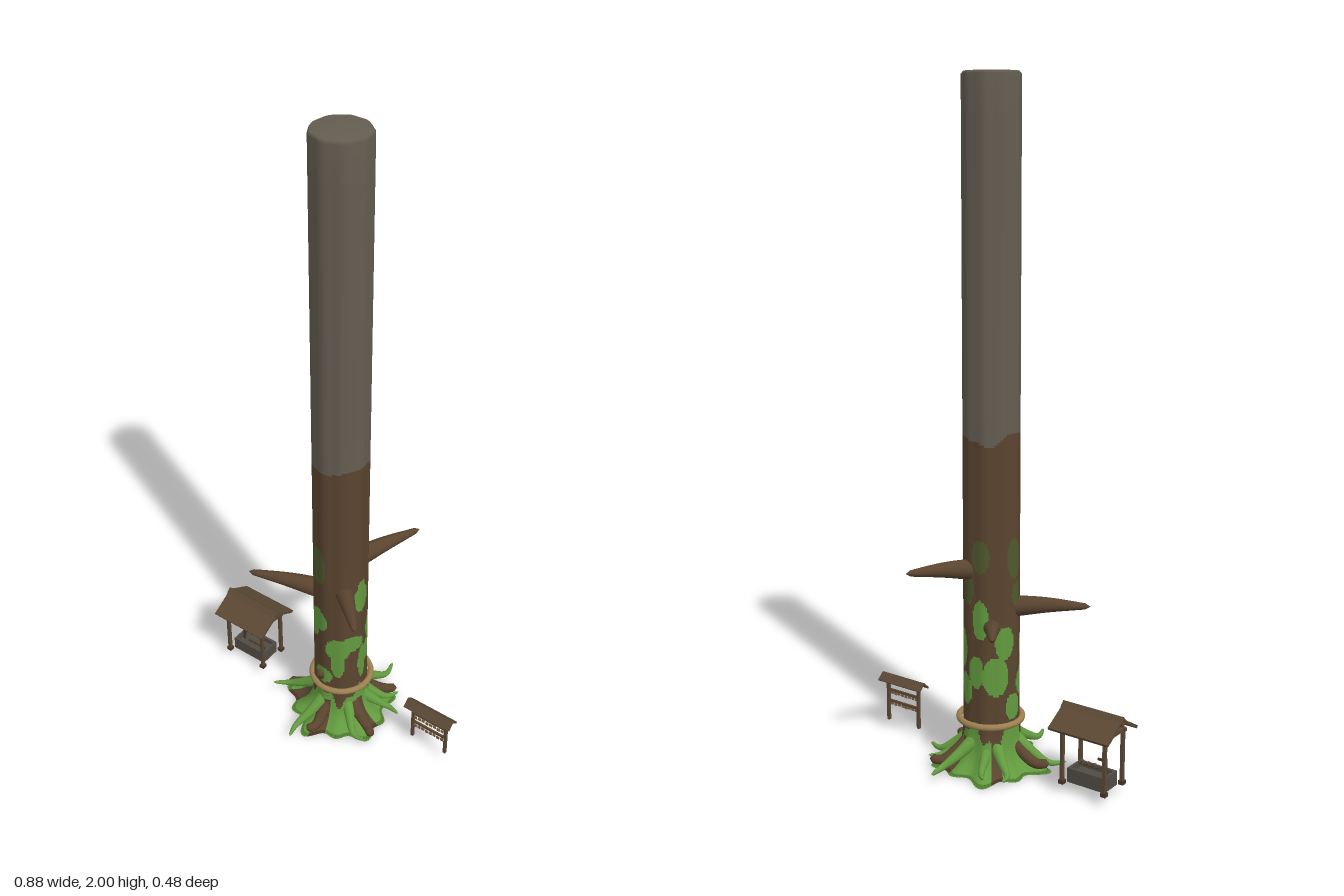
import * as THREE from 'three';

const mat = (name, color) => {
  const m = new THREE.MeshStandardMaterial({ color });
  m.name = name;
  return m;
};
const bark = mat('bark', 0x5a442f), pale = mat('greyBark', 0x645d51), moss = mat('moss', 0x629a3e),
  dimMoss = mat('dimMoss', 0x50592d), rope = mat('rope', 0x9c8050), wood = mat('wood', 0x5b4834),
  darkWood = mat('darkWood', 0x473728), stone = mat('stone', 0x504c44), plaque = mat('plaque', 0x7c6446);

const CX = 0.015, CZ = 0.01, RAD = Math.PI / 180;
const V = (x, y, z) => new THREE.Vector3(x, y, z);
const angleGap = (a, b) => Math.abs(((a - b + 540) % 360 + 360) % 360 - 180);

function add(parent, name, geo, material, x = 0, y = 0, z = 0) {
  const m = new THREE.Mesh(geo, material);
  m.name = name;
  m.position.set(x, y, z);
  parent.add(m);
  return m;
}
const box = (parent, name, material, w, h, d, x, y, z) =>
  add(parent, name, new THREE.BoxGeometry(w, h, d), material, x, y, z);

// Root buttresses around the foot: [angle, extra reach]
const lobes = [[26, 0.055], [95, 0.055], [135, 0.03], [167, 0.06], [205, 0.025], [243, 0.055], [285, 0.025], [315, 0.055], [355, 0.035], [60, 0.025]];
// Moss patches: [angle, height, half angle, half height]
const patches = [
  [110, 0.425, 27, 0.042], [130, 0.375, 22, 0.032], [60, 0.32, 28, 0.045], [3, 0.52, 22, 0.055], [3, 0.56, 13, 0.03],
  [30, 0.34, 34, 0.03], [60, 0.26, 16, 0.06], [0, 0.25, 14, 0.07], [152, 0.27, 24, 0.045],
  [258, 0.47, 18, 0.06], [205, 0.4, 22, 0.05], [225, 0.3, 28, 0.06], [268, 0.31, 18, 0.05],
  [318, 0.37, 26, 0.06], [300, 0.25, 22, 0.05], [335, 0.28, 20, 0.045], [185, 0.2, 20, 0.04], [95, 0.2, 24, 0.03]];
const dimPatches = [[112, 0.64, 26, 0.07], [258, 0.66, 20, 0.05], [182, 0.65, 20, 0.06], [290, 0.56, 16, 0.05], [170, 0.54, 18, 0.04]];

function trunkRadius(deg, y) {
  let reach = 0.047;
  for (const [a, r] of lobes) reach += r * Math.exp(-((angleGap(deg, a) / 13) ** 2));
  return 0.082 + 0.0015 * Math.sin(deg * RAD * 9) + reach * Math.exp(-y / 0.034);
}

// 0 bark, 1 grey bark, 2 moss, 3 dim moss
function trunkPaint(deg, y) {
  const a = deg * RAD;
  if (y > 1.008 + 0.01 * Math.sin(2 * a + 1) - 0.03 * Math.exp(-((angleGap(deg, 235) / 25) ** 2))) return 1;
  const inside = ([pa, py, da, dy]) => (angleGap(deg, pa) / da) ** 2 + ((y - py) / dy) ** 2 < 1;
  if (patches.some(inside)) return 2;
  if (dimPatches.some(inside)) return 3;
  const streak = Math.sin(5 * a + 0.6) > 0.78 && y < 0.1;
  return y < 0.115 + 0.03 * Math.sin(4 * a + 1) + 0.015 * Math.sin(11 * a) && !streak ? 2 : 0;
}

// Trunk: rings stacked upwards, faces grouped by colour
function trunkGeometry() {
  const N = 120, rows = [[0, 0]];
  for (let y = 0; y < 1.06; y += 0.007) rows.push([y, 1]);
  rows.push([1.5, 1], [1.88, 1], [1.992, 1], [2, 0.92], [2, 0]);
  const pos = [], faces = [[], [], [], []];
  rows.forEach(([y, s]) => {
    for (let i = 0; i < N; i++) {
      const deg = i * 360 / N, r = trunkRadius(deg, y) * s;
      pos.push(CX + r * Math.cos(deg * RAD), y, CZ + r * Math.sin(deg * RAD));
    }
  });
  for (let j = 0; j < rows.length - 1; j++) for (let i = 0; i < N; i++) {
    const k = (i + 1) % N, a = j * N + i, b = a + N, c = j * N + k, d = c + N;
    faces[trunkPaint((i + 0.5) * 360 / N, (rows[j][0] + rows[j + 1][0]) / 2)].push(a, b, c, c, b, d);
  }
  const g = new THREE.BufferGeometry();
  g.setAttribute('position', new THREE.Float32BufferAttribute(pos, 3));
  g.setIndex(faces.flat());
  let start = 0;
  faces.forEach((f, m) => { g.addGroup(start, f.length, m); start += f.length; });
  g.computeVertexNormals();
  return g;
}

// Tube that tapers along a curve and closes to a blunt tip
function taper(points, r0, r1, power = 1) {
  const n = 16, sides = 14, curve = new THREE.CatmullRomCurve3(points);
  const g = new THREE.TubeGeometry(curve, n, 1, sides), p = g.attributes.position, v = V(0, 0, 0);
  for (let i = 0; i <= n; i++) {
    const c = curve.getPointAt(i / n), r = i === n ? 0 : r0 + (r1 - r0) * (i / (n - 1)) ** power;
    for (let k = 0; k <= sides; k++) {
      const q = i * (sides + 1) + k;
      v.fromBufferAttribute(p, q).sub(c).multiplyScalar(r).add(c);
      p.setXYZ(q, v.x, v.y, v.z);
    }
  }
  g.computeVertexNormals();
  return g;
}

// Gable roof of two tilted slabs
function gable(parent, w, halfDepth, rise, thick, x, top, z) {
  const len = Math.hypot(halfDepth, rise), tilt = Math.atan2(rise, halfDepth);
  for (const s of [1, -1]) {
    const slab = box(parent, 'roofSlope', wood, w, thick, len, x, top - rise / 2 - thick / 2, z + s * halfDepth / 2);
    slab.rotation.x = s * tilt;
  }
}

export function createModel() {
  const root = new THREE.Group();
  root.name = 'sacredTree';
  add(root, 'trunk', trunkGeometry(), [bark, pale, moss, dimMoss]);

  // Branches: tip x, z, base height, tip height, base radius
  const tips = [[-0.255, 0.12, 0.492, 0.512, 0.032], [0.195, 0.185, 0.545, 0.568, 0.03],
    [0.13, -0.24, 0.607, 0.63, 0.032], [-0.115, -0.165, 0.442, 0.463, 0.028]];
  for (const [x, z, y0, y1, r] of tips) {
    const mid = V(CX + (x - CX) * 0.55, (y0 + y1) / 2 + 0.004, CZ + (z - CZ) * 0.55);
    add(root, 'branch', taper([V(CX + (x - CX) * 0.15, y0, CZ + (z - CZ) * 0.15), mid, V(x, y1, z)], r, 0.009, 1.3), bark);
  }
  // Broken stub above the rope
  add(root, 'stub', taper([V(0, 0.175, 0.07), V(0, 0.195, 0.09), V(0, 0.212, 0.104)], 0.02, 0.01), bark);

  // Roots: tip x, z, sideways bend, material
  const roots = [[0.065, -0.215, 0.02, moss], [0.207, -0.04, -0.02, moss], [-0.015, 0.24, 0.02, moss],
    [-0.125, -0.13, -0.02, moss], [0.155, -0.118, 0.01, moss], [0.185, 0.115, 0.02, moss], [-0.2, 0.09, 0.015, moss],
    [0.14, -0.13, -0.01, bark], [0.19, 0.085, -0.01, bark], [-0.165, 0.05, 0.01, bark], [0.01, 0.185, -0.01, bark], [-0.07, -0.15, 0.01, moss]];
  for (const [x, z, bend, m] of roots) {
    const dx = x - CX, dz = z - CZ, l = Math.hypot(dx, dz);
    const at = (t, y, b) => V(CX + dx * t - dz / l * b, y, CZ + dz * t + dx / l * b);
    add(root, 'root', taper([at(0.3, 0.09, 0), at(0.55, 0.052, bend * 0.6), at(0.8, 0.026, bend), at(1, 0.03, 0)],
      m === bark ? 0.024 : 0.022, m === bark ? 0.013 : 0.005), m);
  }

  // Rope around the trunk
  const ring = add(root, 'rope', new THREE.TorusGeometry(0.093, 0.0095, 10, 48), rope, 0.016, 0.15, 0.006);
  ring.rotation.x = Math.PI / 2;

  // Roofed water basin
  const well = new THREE.Group();
  well.name = 'waterPavilion';
  root.add(well);
  const wx = -0.338, wz = 0.01;
  gable(well, 0.196, 0.08, 0.047, 0.009, wx, 0.253, wz);
  const ridge = box(well, 'roofRidge', wood, 0.2, 0.022, 0.022, wx, 0.2445, wz);
  ridge.rotation.x = Math.PI / 4;
  for (const sx of [-1, 1]) {
    for (const sz of [-1, 1]) {
      box(well, 'post', wood, 0.01, 0.17, 0.01, wx + sx * 0.07, 0.12, wz + sz * 0.048);
      box(well, 'postFoot', darkWood, 0.016, 0.012, 0.016, wx + sx * 0.07, 0.038, wz + sz * 0.048);
    }
    box(well, 'tieBeam', wood, 0.01, 0.01, 0.11, wx + sx * 0.07, 0.2, wz);
  }
  for (const sz of [-1, 1]) {
    box(well, 'longBeam', wood, 0.16, 0.01, 0.01, wx, 0.2, wz + sz * 0.048);
    box(well, 'basinLongWall', stone, 0.124, 0.043, 0.008, wx, 0.0545, wz + sz * 0.03);
    box(well, 'basinEndWall', stone, 0.008, 0.043, 0.06, wx + sz * 0.058, 0.0545, wz);
  }
  box(well, 'basinFloor', stone, 0.12, 0.026, 0.06, wx, 0.047, wz);
  box(well, 'spoutPost', darkWood, 0.007, 0.06, 0.007, wx - 0.045, 0.09, wz);
  box(well, 'spout', darkWood, 0.03, 0.006, 0.006, wx - 0.034, 0.113, wz);
  box(well, 'ladleRest', darkWood, 0.07, 0.003, 0.006, wx + 0.018, 0.077, wz + 0.012);
  for (let i = 0; i < 3; i++)
    add(well, 'ladle', new THREE.CylinderGeometry(0.006, 0.005, 0.01, 10), wood, wx + i * 0.02, 0.082, wz + 0.012);

  // Rack of hanging plaques
  const rack = new THREE.Group();
  rack.name = 'plaqueRack';
  root.add(rack);
  const rx = 0.354, rz = 0.007;
  gable(rack, 0.166, 0.022, 0.02, 0.005, rx, 0.187, rz);
  for (const s of [-1, 1]) box(rack, 'rackPost', wood, 0.009, 0.142, 0.009, rx + s * 0.06, 0.104, rz);
  for (const y of [0.134, 0.098]) {
    box(rack, 'rackRail', wood, 0.126, 0.007, 0.006, rx, y, rz);
    for (let i = 0; i < 8; i++)
      box(rack, 'plaque', plaque, 0.01, 0.01, 0.003, rx - 0.049 + i * 0.014, y - 0.011 + (i % 3) * 0.001, rz + 0.004);
  }
  return root;
}
